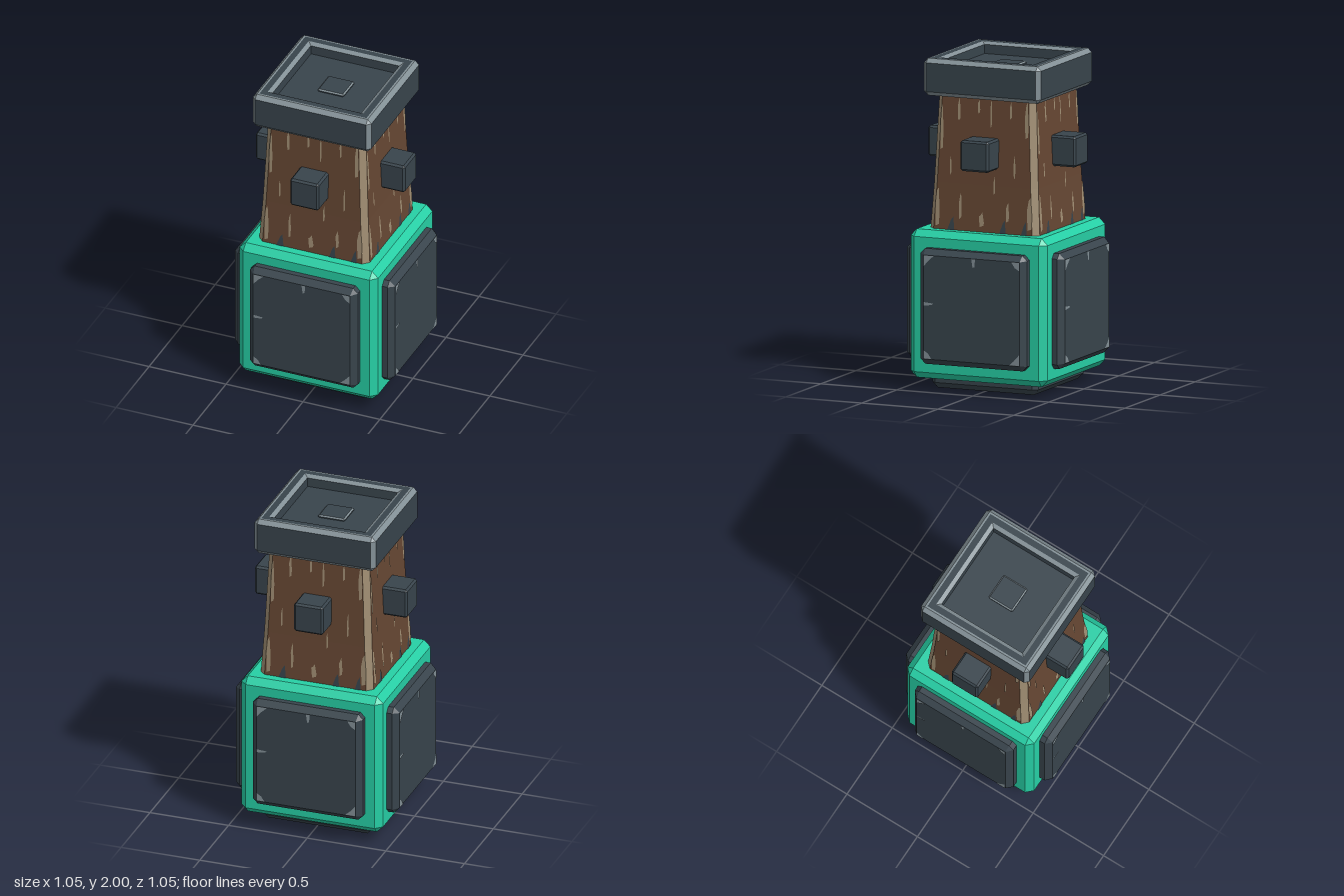
import * as THREE from 'three';

const mat = (name, color) => {
  const m = new THREE.MeshStandardMaterial({ color });
  m.name = name;
  return m;
};

// Square rings [y, halfWidth, cornerCut, sideMaterial, cornerMaterial] joined into a
// flat-faced solid; each ring's materials colour the band up to the next ring.
function loft(name, materials, rings, bottomMat = 0, topMat = 0) {
  const buckets = materials.map(() => []);
  const outline = ([y, h, c]) => {
    const pts = [];
    for (let k = 0; k < 4; k++) {
      for (let [x, z] of [[h, c - h], [h - c, -h]]) {
        for (let r = 0; r < k; r++) [x, z] = [z, -x];
        pts.push([x, y, z]);
      }
    }
    return pts;
  };
  const loops = rings.map(outline);
  const tri = (m, a, b, c) => buckets[m].push(...a, ...b, ...c);
  for (let r = 0; r < loops.length - 1; r++) {
    const [, , , side = 0, corner = side] = rings[r];
    for (let i = 0; i < 8; i++) {
      const j = (i + 1) % 8, m = i % 2 ? side : corner;
      tri(m, loops[r][i], loops[r][j], loops[r + 1][j]);
      tri(m, loops[r][i], loops[r + 1][j], loops[r + 1][i]);
    }
  }
  const first = loops[0], last = loops[loops.length - 1];
  for (let i = 1; i < 7; i++) {
    tri(bottomMat, first[0], first[i + 1], first[i]);
    tri(topMat, last[0], last[i], last[i + 1]);
  }
  const geo = new THREE.BufferGeometry();
  geo.setAttribute('position', new THREE.Float32BufferAttribute(buckets.flat(), 3));
  let start = 0;
  buckets.forEach((b, m) => {
    geo.addGroup(start, b.length / 3, m);
    start += b.length / 3;
  });
  geo.computeVertexNormals();
  const mesh = new THREE.Mesh(geo, materials);
  mesh.name = name;
  return mesh;
}

// Flat polygon facing +z
function patch(name, material, points, z) {
  const shape = new THREE.Shape(points.map(([x, y]) => new THREE.Vector2(x, y)));
  const geo = new THREE.ShapeGeometry(shape);
  const p = geo.attributes.position;
  for (let i = 0; i < p.count; i++) p.setZ(i, z(p.getY(i)));
  geo.computeVertexNormals();
  const mesh = new THREE.Mesh(geo, material);
  mesh.name = name;
  return mesh;
}

export function createModel() {
  const slate = mat('slate', 0x38444c);
  const steel = mat('worn steel', 0x839096);
  const green = mat('green', 0x26cfa5);
  const brown = mat('brown wood', 0x664733);
  const tan = mat('tan wood', 0xa08e73);

  const model = new THREE.Group();

  // Chamfered green cube
  model.add(loft('baseCube', [green], [
    [0.07, 0.41, 0], [0.11, 0.45, 0.04], [0.93, 0.45, 0.04], [0.97, 0.41, 0],
  ]));

  // Bevelled slate plates on the four sides and underneath
  const plate = () => {
    const g = new THREE.Group();
    g.name = 'basePlate';
    const body = loft('plateBody', [slate], [[0.43, 0.35, 0.03], [0.485, 0.35, 0.03], [0.52, 0.315, 0]]);
    body.rotation.x = Math.PI / 2;
    g.add(body);
    g.position.y = 0.52;
    return g;
  };
  for (let k = 0; k < 4; k++) {
    const p = plate();
    // Worn corners and small nicks
    for (let c = 0; c < 4; c++) {
      const s = c % 2 ? 0.065 : 0.05;
      const wear = patch('wornCorner', steel,
        [[0.313, 0.313], [0.313 - s, 0.313], [0.285, 0.28], [0.313, 0.313 - s]], () => 0.523);
      wear.rotation.z = c * Math.PI / 2;
      p.add(wear);
    }
    p.add(patch('nick', steel, [[-0.313, 0.01], [-0.26, 0.015], [-0.25, 0.025], [-0.313, 0.03]], () => 0.523));
    p.add(patch('nick', steel, [[0, 0.313], [0.008, 0.26], [0.02, 0.265], [0.025, 0.313]], () => 0.523));
    p.rotation.y = k * Math.PI / 2;
    model.add(p);
  }
  const under = plate();
  under.rotation.x = Math.PI / 2;
  model.add(under);

  // Tapered wooden post with worn corner edges
  model.add(loft('woodPost', [brown, tan], [
    [0.95, 0.36, 0.035, 0, 1], [1.25, 0.342, 0.035, 0, 1], [1.79, 0.318, 0.035, 0, 1],
  ]));
  const wall = y => (y < 1.25
    ? 0.36 - (y - 0.95) * 0.06
    : 0.342 - (y - 1.25) * 0.0444) + 0.003;

  // Wood grain: [x, bottom, top, width]
  const grain = [
    [-0.01, 1.0, 1.09, 0.035], [-0.15, 1.04, 1.2, 0.018], [0.16, 1.04, 1.16, 0.022],
    [0.07, 1.2, 1.31, 0.012], [-0.17, 1.63, 1.77, 0.018], [-0.04, 1.68, 1.77, 0.016],
    [0.04, 1.6, 1.77, 0.012], [0.17, 1.66, 1.77, 0.014], [0.2, 1.3, 1.45, 0.012],
    [-0.22, 1.3, 1.42, 0.012], [-0.3, 0.99, 1.22, 0.03], [0.305, 1.0, 1.2, 0.035],
    [-0.282, 1.45, 1.72, 0.022], [0.275, 1.55, 1.77, 0.025],
  ];
  const base = [[-0.21, 0.05], [0.13, 0.045], [0.27, 0.04]];
  for (let k = 0; k < 4; k++) {
    const side = new THREE.Group();
    side.name = 'postSide';
    side.rotation.y = k * Math.PI / 2;
    for (const [x, b, t, w] of grain) {
      const m = (b + t) / 2;
      side.add(patch('woodGrain', tan, [
        [x - w * 0.3, b], [x + w * 0.4, b + 0.01], [x + w / 2, m - 0.02],
        [x + w * 0.15, t], [x - w * 0.2, t - 0.02], [x - w / 2, m + 0.02],
      ], wall));
    }
    for (const [x, w] of base) {
      side.add(patch('darkStain', slate,
        [[x - w / 2, 0.965], [x + w / 2, 0.965], [x + w * 0.3, 1.05], [x, 1.03]], wall));
    }

    // Square peg standing out of each side
    const peg = loft('peg', [slate], [
      [0.28, 0.093, 0.012], [0.473, 0.093, 0.012], [0.485, 0.081, 0],
    ]);
    peg.rotation.x = Math.PI / 2;
    peg.position.y = 1.447;
    side.add(peg);
    model.add(side);
  }

  // Cap with worn edges and a recessed top
  model.add(loft('cap', [slate, steel], [
    [1.775, 0.36, 0, 1], [1.8, 0.385, 0.025, 0, 1], [1.975, 0.385, 0.025, 1],
    [2, 0.36, 0, 1], [2, 0.348, 0, 0], [2, 0.31, 0, 1], [1.985, 0.287, 0, 0],
    [1.93, 0.285, 0, 0],
  ]));
  // Small raised square in the recess
  model.add(loft('capStud', [slate, steel], [
    [1.9, 0.085, 0.008, 0], [1.937, 0.085, 0.008, 1], [1.945, 0.077, 0, 0],
  ]));

  return model;
}
